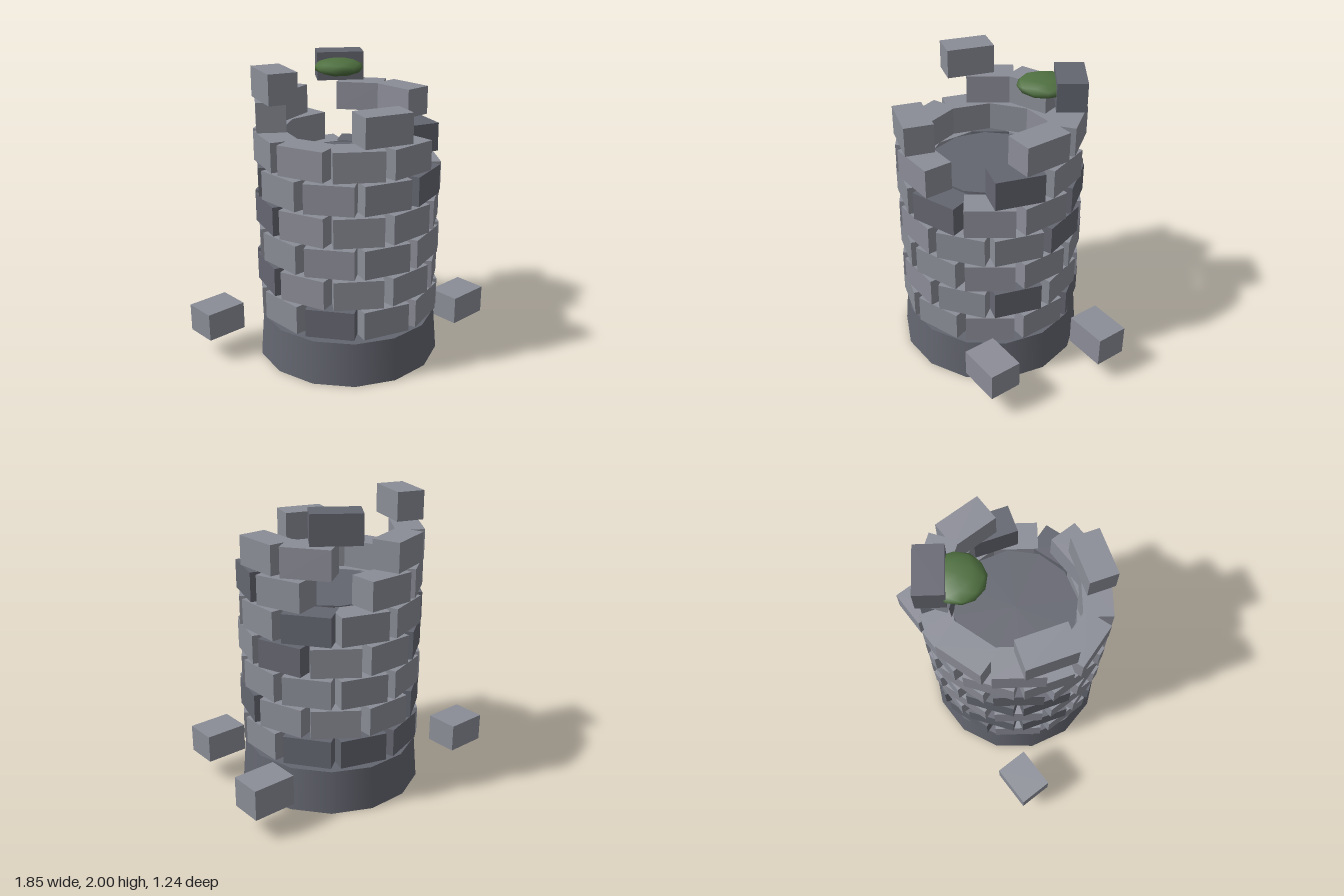
import * as THREE from 'three';

const mat = (name, color) => {
  const m = new THREE.MeshStandardMaterial({ color });
  m.name = name;
  return m;
};

export function createModel() {
  const model = new THREE.Group();
  model.name = 'ruinedTower';

  const lightStone = mat('lightStone', 0x8b8d97);
  const darkStone = mat('darkStone', 0x646670);
  const moss = mat('moss', 0x4f7040);

  const add = (parent, name, geometry, material, x, y, z) => {
    const mesh = new THREE.Mesh(geometry, material);
    mesh.name = name;
    mesh.position.set(x, y, z);
    parent.add(mesh);
    return mesh;
  };

  // Tower body: everything round the slightly offset axis
  const tower = new THREE.Group();
  tower.name = 'tower';
  tower.position.x = -0.027;
  model.add(tower);

  // Tapered foundation and the solid core that forms the inner floor
  add(tower, 'foundation', new THREE.CylinderGeometry(0.603, 0.6275, 0.3, 14, 1, false, Math.PI / 2), darkStone, 0, 0.15, 0);
  add(tower, 'core', new THREE.CylinderGeometry(0.402, 0.402, 1.07, 12), darkStone, 0, 0.835, 0);

  // Brick courses: angles in degrees from the front towards +x.
  // Even courses sit at 18 + 36k, odd ones at 36k.
  const all = null;
  const courses = [
    { laid: all, dark: [126, 162, 198, 306] },
    { laid: all, dark: [72, 216, 252] },
    { laid: all, dark: [] },
    { laid: all, dark: [108, 216, 252] },
    { laid: all, dark: [18, 126, 234] },
    { laid: [0, 72, 108, 180, 216, 252, 288, 324], dark: [72] },
    { laid: [90, 126, 198, 234, 342], dark: [] },
    { laid: [144, 252], dark: [144] },
  ];
  const brick = new THREE.BoxGeometry(0.32, 0.193, 0.19);
  courses.forEach(({ laid, dark }, row) => {
    const course = new THREE.Group();
    course.name = `brickCourse${row + 1}`;
    course.position.y = 0.43 + row * 0.2105;
    for (let k = 0; k < 10; k++) {
      const deg = 36 * k + (row % 2 ? 0 : 18);
      if (laid && !laid.includes(deg)) continue;
      const a = THREE.MathUtils.degToRad(deg);
      const stone = dark.includes(deg) ? darkStone : lightStone;
      add(course, 'brick', brick, stone, 0.502 * Math.sin(a), 0, 0.502 * Math.cos(a)).rotation.y = a;
    }
    tower.add(course);
  });

  // Fallen blocks lying round the foot
  const fallen = [
    [0.775, 0.26, -0.32, 0.295, 0.208, 0.22],
    [0.62, 0.265, 0.452, 0.292, 0.19, 0.222],
    [-0.783, 0.265, -0.512, 0.285, 0.19, 0.225],
  ];
  for (const [x, y, z, w, h, d] of fallen) {
    add(model, 'fallenBlock', new THREE.BoxGeometry(w, h, d), lightStone, x, y, z);
  }

  // Flattened clump of moss by the topmost block
  const clump = add(model, 'mossClump', new THREE.IcosahedronGeometry(1, 1), moss, 0.155, 1.912, -0.285);
  clump.scale.set(0.175, 0.058, 0.17);
  clump.rotation.y = 0.5;

  return model;
}
